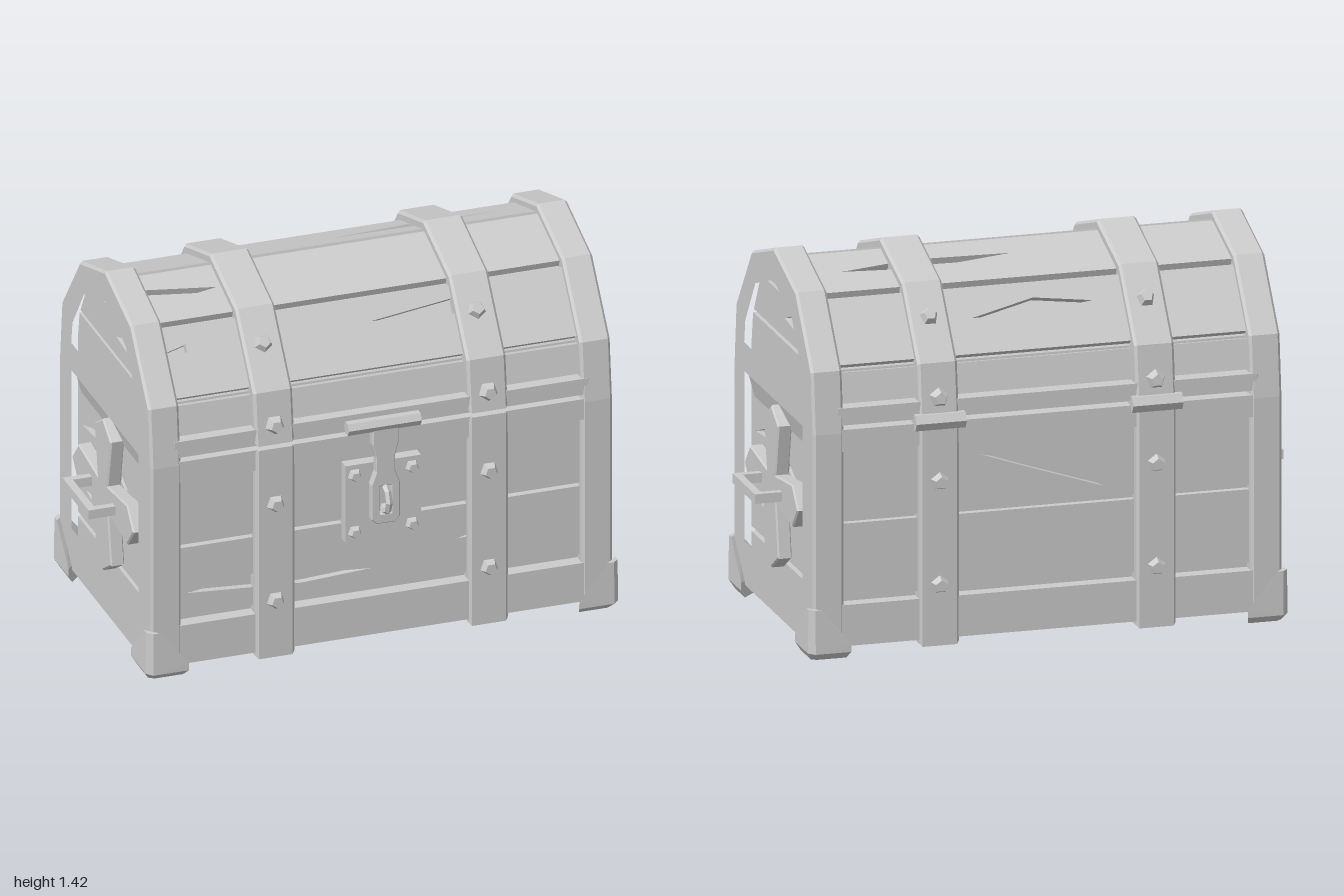
import * as THREE from 'three';
import { ConvexGeometry } from 'three/addons/geometries/ConvexGeometry.js';

const material = new THREE.MeshStandardMaterial({ color: 0xcccccc, flatShading: true });

function add(parent, name, geometry) {
  const mesh = new THREE.Mesh(geometry, material);
  mesh.name = name;
  parent.add(mesh);
  return mesh;
}

function box(parent, name, size, pos) {
  const mesh = add(parent, name, new THREE.BoxGeometry(...size));
  mesh.position.set(...pos);
  return mesh;
}

// Flat slab in x,y with optional holes and chamfer, from z = 0 to z = depth
function slab(points, depth, holes = [], bevel = 0) {
  const toVec = p => new THREE.Vector2(p[0], p[1]);
  const shape = new THREE.Shape(points.map(toVec));
  holes.forEach(h => shape.holes.push(new THREE.Path(h.map(toVec))));
  const geo = new THREE.ExtrudeGeometry(shape, {
    depth: depth - 2 * bevel, bevelEnabled: bevel > 0, bevelSegments: 1,
    bevelSize: bevel, bevelThickness: bevel, bevelOffset: -bevel,
  });
  return geo.translate(0, 0, bevel);
}

// Cross-section given as [z, y], swept along x
function sweepX(points, x0, x1, holes = [], bevel = 0) {
  const flip = list => list.map(([z, y]) => [-z, y]);
  return slab(flip(points), x1 - x0, holes.map(flip), bevel).rotateY(Math.PI / 2).translate(x0, 0, 0);
}

const mirror = half => [...half, ...half.slice().reverse().filter(p => p[0] !== 0).map(([z, y]) => [-z, y])];

// Arched lid outline, inset by d, starting at height y0
const lidHalf = (d, y0) => [
  [0.5 - d, y0], [0.475 - d, 1.08 - 0.25 * d], [0.28 - 0.6 * d, 1.33 - 0.85 * d], [0, 1.42 - 1.05 * d],
];
const rect = (h, y0, y1) => [[h, y0], [h, y1], [-h, y1], [-h, y0]];

// Five-sided stud pointing along a normal
function stud(parent, pos, normal, r = 0.038, h = 0.032) {
  const mesh = add(parent, 'stud', new THREE.CylinderGeometry(r * 0.6, r, h, 5));
  mesh.position.set(...pos);
  mesh.quaternion.setFromUnitVectors(new THREE.Vector3(0, 1, 0), new THREE.Vector3(...normal).normalize());
}

// Plank between two [z, y] points; chips are worn notches in (x, distance along)
function plank(parent, a, b, chips = [], trim = 0.008) {
  const dz = b[0] - a[0], dy = b[1] - a[1], len = Math.hypot(dz, dy);
  const geo = slab([[-0.78, trim], [0.78, trim], [0.78, len - trim], [-0.78, len - trim]], 0.026, chips);
  const up = new THREE.Vector3(0, dy / len, dz / len), right = new THREE.Vector3(1, 0, 0);
  const m = new THREE.Matrix4().makeBasis(right, up, right.clone().cross(up)).setPosition(0, a[1], a[0]);
  add(parent, 'plank', geo.applyMatrix4(m));
}

function buildShell(chest) {
  add(chest, 'bodyCore', sweepX(rect(0.445, 0.06, 0.85), -0.82, 0.82));
  add(chest, 'lidCore', sweepX(mirror(lidHalf(0.055, 0.84)), -0.82, 0.82));

  // Horizontal rails, with the seam between lid and body
  add(chest, 'baseRail', sweepX(rect(0.497, 0.045, 0.2), -0.8, 0.8, [], 0.008));
  add(chest, 'bodyRail', sweepX(rect(0.497, 0.78, 0.862), -0.8, 0.8, [], 0.006));
  add(chest, 'lidRail', sweepX(rect(0.493, 0.878, 0.942), -0.8, 0.8, [], 0.006));

  // Body planks, front then back
  const z = 0.445;
  plank(chest, [z, 0.215], [z, 0.508], [
    [[-0.74, 0.1], [-0.4, 0.15], [-0.42, 0.115], [-0.03, 0.085], [-0.3, 0.07]],
    [[0.3, 0.15], [0.47, 0.16], [0.47, 0.2]]]);
  plank(chest, [z, 0.508], [z, 0.78]);
  plank(chest, [-z, 0.78], [-z, 0.508], [[[0.25, 0.06], [-0.05, 0.13], [-0.22, 0.22], [0.05, 0.13]]]);
  plank(chest, [-z, 0.508], [-z, 0.215]);

  // Lid planks, one on each facet of the arch
  const arc = mirror(lidHalf(0.055, 0.94));
  const chips = [
    [],
    [[[0.02, 0.18], [0.36, 0.16], [0.36, 0.22]], [[-0.77, 0.18], [-0.69, 0.17], [-0.69, 0.2]]],
    [[[-0.77, 0.09], [-0.5, 0.14], [-0.77, 0.18]]],
    [[[0.02, 0.1], [0.4, 0.09], [0.67, 0.13], [0.35, 0.15]]],
    [[[-0.22, 0.1], [0, 0.07], [0.24, 0.13], [0.02, 0.13]]],
    [],
  ];
  for (let i = 0; i < arc.length - 1; i++) plank(chest, arc[i], arc[i + 1], chips[i], i === 2 || i === 3 ? 0.003 : 0.008);
}

function buildStraps(chest) {
  for (const x of [-0.41, 0.41]) {
    const strap = new THREE.Group();
    strap.name = 'strap';
    strap.position.x = x;
    chest.add(strap);
    add(strap, 'bodyStrap', sweepX(rect(0.506, 0.02, 0.862), -0.075, 0.075, [], 0.01));
    add(strap, 'lidStrap', sweepX(mirror(lidHalf(-0.004, 0.878)), -0.075, 0.075, [], 0.01));
    for (const s of [1, -1]) {
      for (const y of [0.25, 0.64]) stud(strap, [0, y, s * 0.516], [0, 0, s]);
      stud(strap, [0, 0.955, s * 0.51], [0, 0.1, s]);
      stud(strap, [0, 1.23, s * 0.376], [0, 0.195, s * 0.25]);
      stud(strap, [0, 0.018, s * 0.275], [0, -1, 0], 0.036, 0.026);
    }
    // Rear hinge barrel
    const hinge = add(strap, 'hinge', new THREE.CylinderGeometry(0.034, 0.034, 0.19, 6));
    hinge.rotation.z = Math.PI / 2;
    hinge.position.set(0, 0.868, -0.497);
  }
}

function buildEnd(chest, turn) {
  const end = new THREE.Group();
  end.name = 'end';
  end.rotation.y = turn;
  chest.add(end);

  // Arched frame with a lid opening and a body opening
  const outline = mirror([[0.5, 0.035], [0.5, 0.85], ...lidHalf(0, 0.85).slice(1)]);
  const lidHole = mirror([[0.38, 0.95], [0.365, 1.05], [0.235, 1.23], [0, 1.31]]);
  add(end, 'endFrame', sweepX(outline, 0.77, 0.887, [lidHole, rect(0.375, 0.2, 0.86)], 0.01));

  // Recessed planks: bottom y, top y, bottom half width, top half width, chips
  const planks = [
    [0.06, 0.228, 0.42, 0.42, []],
    [0.248, 0.5, 0.42, 0.42, [[[-0.41, 0.4], [-0.27, 0.36], [-0.27, 0.4], [-0.36, 0.42]]]],
    [0.518, 0.75, 0.42, 0.42, [
      [[-0.37, 0.62], [-0.17, 0.69], [-0.06, 0.65]],
      [[0.03, 0.6], [0.07, 0.7], [0.05, 0.62], [0.16, 0.57], [0.18, 0.58], [0.15, 0.55]]]],
    [0.75, 0.94, 0.42, 0.42, []],
    [0.94, 1.06, 0.42, 0.4, []],
    [1.075, 1.23, 0.39, 0.3, [[[0, 1.15], [0.14, 1.2], [0.3, 1.18], [0.31, 1.15], [0.2, 1.13]]]],
    [1.245, 1.34, 0.28, 0.1, []],
  ];
  for (const [y0, y1, w0, w1, chips] of planks) {
    const geo = slab([[-w0, y0], [w0, y0], [w1, y1], [-w1, y1]], 0.026, chips);
    add(end, 'endPlank', geo.rotateY(Math.PI / 2).translate(0.818, 0, 0));
  }

  // Sloping board under the cross rail
  const wedge = [];
  for (const z of [-0.375, 0.375]) for (const [x, y] of [[0.83, 0.75], [0.846, 0.75], [0.876, 0.86], [0.83, 0.86]]) wedge.push(new THREE.Vector3(x, y, z));
  add(end, 'slopingBoard', new ConvexGeometry(wedge));

  // Flared cross ornament: each arm is one turn of the same points
  const vertical = [[0.05, 0.055], [0.09, 0.25], [0, 0.307], [-0.09, 0.25]];
  const horizontal = [[0.05, 0.055], [0.08, 0.265], [0, 0.335], [-0.08, 0.265]];
  const cross = [];
  for (let k = 0; k < 4; k++) {
    const c = [1, 0, -1, 0][k], s = [0, 1, 0, -1][k];
    for (const [u, v] of k % 2 ? horizontal : vertical) cross.push([c * u - s * v, s * u + c * v]);
  }
  add(end, 'crossOrnament', slab(cross, 0.055, [], 0.006).rotateY(Math.PI / 2).translate(0.842, 0.52, 0));

  // Square handle
  box(end, 'handleGrip', [0.03, 0.036, 0.285], [0.985, 0.52, 0]);
  for (const z of [-0.128, 0.128]) box(end, 'handleArm', [0.14, 0.036, 0.028], [0.92, 0.52, z]);

  // Corner caps
  for (const s of [1, -1]) {
    const pts = [
      [0.76, 0, 0.49], [0.87, 0, 0.49], [0.89, 0, 0.475], [0.89, 0, 0.35],
      [0.75, 0.03, 0.525], [0.885, 0.03, 0.525], [0.908, 0.03, 0.5], [0.908, 0.03, 0.34],
      [0.75, 0.06, 0.525], [0.908, 0.06, 0.34],
      [0.86, 0.195, 0.52], [0.885, 0.195, 0.52], [0.905, 0.195, 0.5], [0.905, 0.195, 0.475],
    ];
    add(end, 'cornerCap', new ConvexGeometry(pts.map(([x, y, z]) => new THREE.Vector3(x, y, s * z))));
  }
}

function buildLock(chest) {
  const lock = new THREE.Group();
  lock.name = 'lock';
  chest.add(lock);
  box(lock, 'lockPlate', [0.29, 0.31, 0.08], [0, 0.595, 0.475]);
  for (const x of [-0.11, 0.11]) for (const y of [0.48, 0.71]) stud(lock, [x, y, 0.522], [0, 0, 1], 0.03, 0.03);

  // Hasp with a slot for the staple
  const half = [[0.055, 0.53], [0.055, 0.67], [0.037, 0.72], [0.037, 0.78], [0.05, 0.83], [0.05, 0.9]];
  const hasp = [[0.035, 0.51], ...half, ...half.slice().reverse().map(([x, y]) => [-x, y]), [-0.035, 0.51]];
  const slot = [[0.022, 0.55], [0.022, 0.66], [-0.022, 0.66], [-0.022, 0.55]];
  add(lock, 'hasp', slab(hasp, 0.035, [slot], 0.004).translate(0, 0, 0.508));

  const pin = add(lock, 'haspHinge', new THREE.CylinderGeometry(0.027, 0.027, 0.28, 6));
  pin.rotation.z = Math.PI / 2;
  pin.position.set(-0.005, 0.908, 0.527);

  const staple = add(lock, 'staple', new THREE.TorusGeometry(0.046, 0.013, 5, 8));
  staple.rotation.y = Math.PI / 2;
  staple.scale.y = 1.1;
  staple.position.set(0, 0.608, 0.533);
}

export function createModel() {
  const model = new THREE.Group();
  model.name = 'chest';
  const chest = new THREE.Group();
  chest.name = 'chestParts';
  chest.position.z = -0.03;
  model.add(chest);
  buildShell(chest);
  buildStraps(chest);
  buildEnd(chest, 0);
  buildEnd(chest, Math.PI);
  buildLock(chest);
  return model;
}
